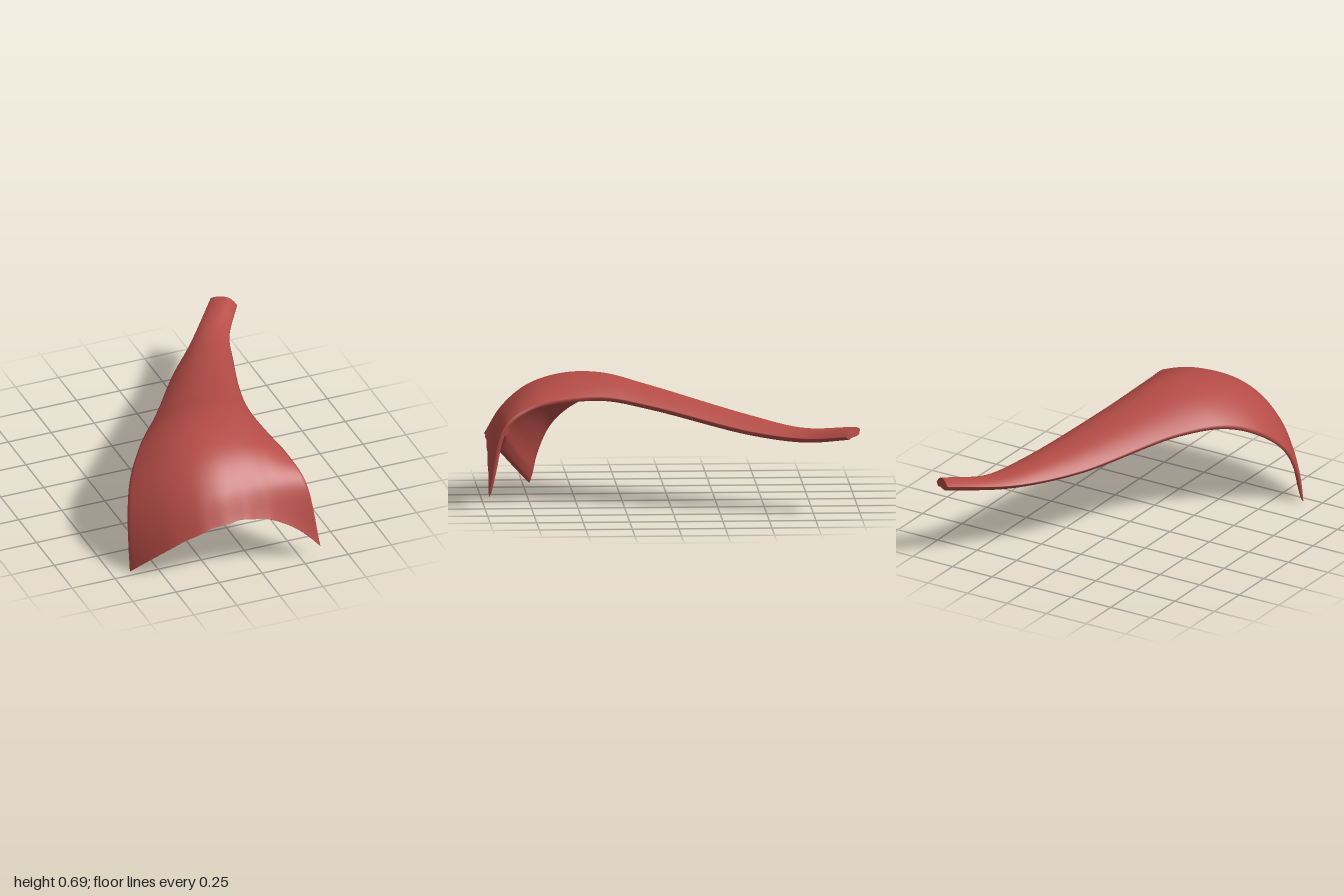
import * as THREE from 'three';

const curve = (...points) => new THREE.CatmullRomCurve3(points.map((p) => new THREE.Vector3(...p)));

// Three guides run from the narrow tail to the wide front rim
const rightEdge = curve([.53, .465, -1], [.29, .415, -.7], [.06, .435, -.4], [-.25, .535, .1], [-.43, .535, .33],
  [-.56, .445, .5], [-.62, .33, .61], [-.645, .17, .68], [-.65, .005, .715]);
const crown = curve([.59, .485, -.955], [.4, .452, -.7], [.25, .5, -.42], [.03, .635, .12], [-.03, .688, .35],
  [-.08, .682, .56], [-.1, .62, .75], [-.12, .5, .89], [-.13, .352, .98]);
const leftEdge = curve([.65, .437, -.92], [.515, .41, -.7], [.42, .435, -.42], [.255, .55, .1], [.207, .592, .35],
  [.218, .585, .56], [.25, .555, .74], [.295, .455, .895], [.345, .085, .985]);

const ROWS = 120, COLS = 60;
const bell = (x, width) => Math.exp(-((x / width) ** 2));

// Outer skin: each section arches down from the crown to both edges
function outerPoint(u, v) {
  const s = 2 * v - 1, t = Math.abs(s);
  const top = crown.getPoint(u), edge = (s < 0 ? rightEdge : leftEdge).getPoint(u);
  const p = new THREE.Vector3(
    THREE.MathUtils.lerp(top.x, edge.x, t),
    THREE.MathUtils.lerp(top.y, edge.y, t ** 2.2),
    THREE.MathUtils.lerp(top.z, edge.z, t ** (1 + 1.6 * u)),
  );
  // Faint fibres that fade in toward the rim
  const fade = u ** 8 * Math.sin(Math.PI * v);
  p.y += fade * 0.003 * Math.sin(v * 37 + 1);
  p.z += fade * 0.003 * Math.sin(v * 47);
  return p;
}

// Sheet thickness: fuller at the tail, rounded at the side edges and at the rim
function thickness(u, v) {
  const body = 0.055 - 0.02 * THREE.MathUtils.smoothstep(u, 0.1, 0.9);
  const sides = 0.5 + 0.5 * Math.sqrt(Math.max(0, Math.sin(Math.PI * v)));
  const rim = 0.2 + 0.8 * Math.sqrt(Math.min(1, (1 - u) / 0.05));
  const fold = 0.025 * bell(v - 0.225, 0.03) * bell(u - 0.96, 0.04);
  return (body * sides + fold) * rim;
}

// Closed sheet: outer skin plus an inner skin offset along the normal
function sheetGeometry() {
  const grid = Array.from({ length: ROWS + 1 }, (_, i) =>
    Array.from({ length: COLS + 1 }, (_, j) => outerPoint(i / ROWS, j / COLS)));

  const rings = grid.map((row, i) => {
    const inner = row.map((p, j) => {
      const du = grid[Math.min(i + 1, ROWS)][j].clone().sub(grid[Math.max(i - 1, 0)][j]);
      const dv = row[Math.min(j + 1, COLS)].clone().sub(row[Math.max(j - 1, 0)]);
      return p.clone().addScaledVector(du.cross(dv).normalize(), -thickness(i / ROWS, j / COLS));
    });
    return [...row, ...inner.reverse()];
  });

  const n = rings[0].length, pos = [], index = [];
  const addRing = (ring) => ring.forEach((p) => pos.push(p.x, p.y, p.z));
  rings.forEach(addRing);
  for (let i = 0; i < ROWS; i++) {
    for (let j = 0; j < n; j++) {
      const a = i * n + j, b = a + n, c = i * n + (j + 1) % n, d = c + n;
      index.push(a, b, c, c, b, d);
    }
  }

  // End caps bridge the two skins with their own vertices, so their edges stay sharp
  const addCap = (ring, front) => {
    const base = pos.length / 3;
    addRing(ring);
    for (let j = 0; j < COLS; j++) {
      const a = base + j, b = a + 1, c = base + n - 1 - j, d = c - 1;
      if (front) index.push(a, c, b, b, c, d);
      else index.push(a, b, c, b, d, c);
    }
  };
  addCap(rings[0], false);
  addCap(rings[ROWS], true);

  const geo = new THREE.BufferGeometry();
  geo.setAttribute('position', new THREE.Float32BufferAttribute(pos, 3));
  geo.setIndex(index);
  geo.computeVertexNormals();
  return geo;
}

export function createModel() {
  const group = new THREE.Group();
  group.name = 'muscle';
  const red = new THREE.MeshStandardMaterial({ color: 0xb54c46 });
  red.name = 'muscle red';
  const sheet = new THREE.Mesh(sheetGeometry(), red);
  sheet.name = 'fanSheet';
  group.add(sheet);
  return group;
}
